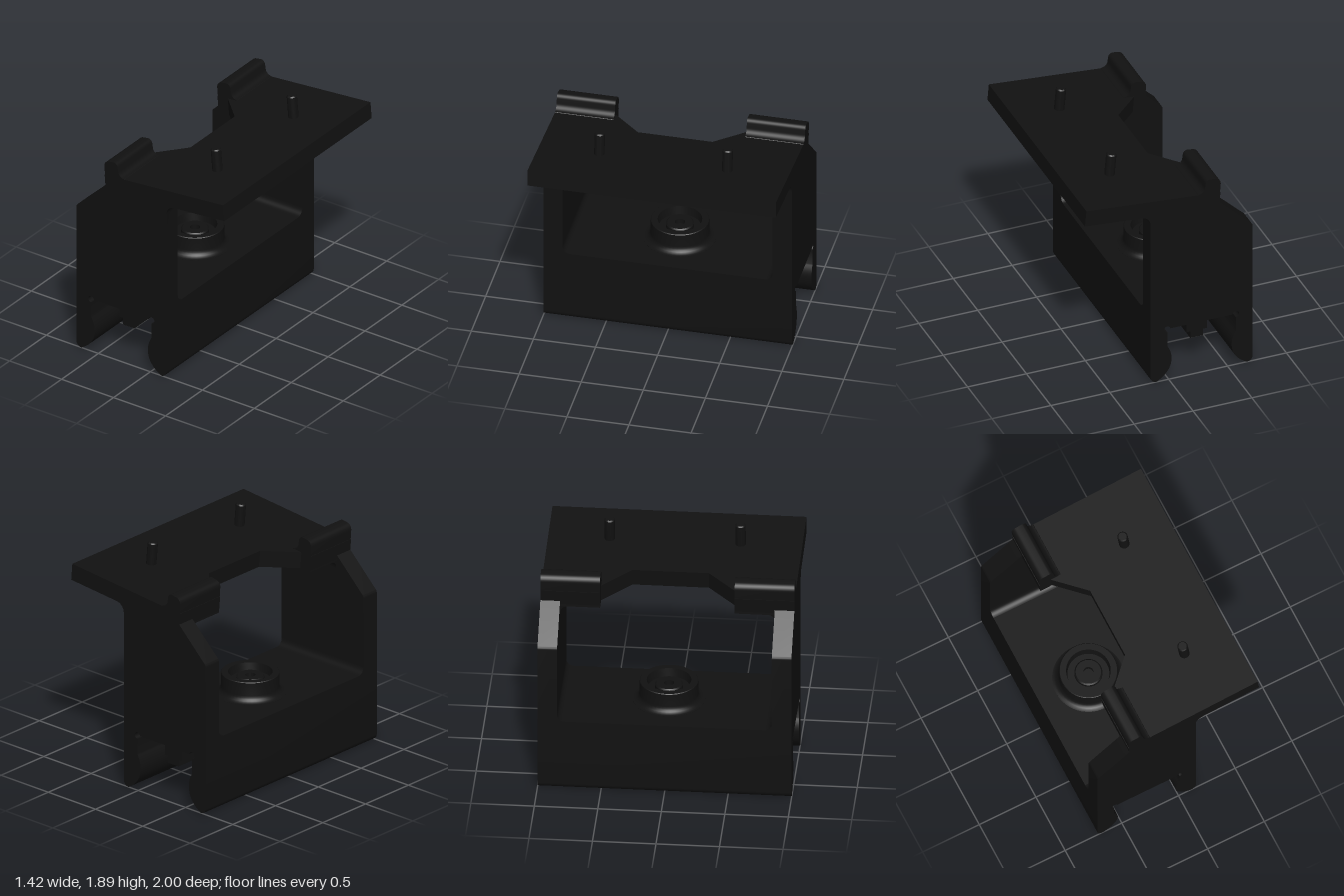
import * as THREE from 'three';
import { toCreasedNormals } from 'three/addons/utils/BufferGeometryUtils.js';

const CX = -0.28; // centre line of the clip and the housing
const V = (x, y) => new THREE.Vector2(x, y);

// points on a circular arc, angles in degrees
function arc(cx, cy, r, a0, a1, n = 8) {
  return Array.from({ length: n + 1 }, (_, i) => {
    const a = THREE.MathUtils.degToRad(a0 + ((a1 - a0) * i) / n);
    return V(cx + r * Math.cos(a), cy + r * Math.sin(a));
  });
}

// extrude a closed outline along z from z0 to z1
function slab(points, z0, z1) {
  const g = new THREE.ExtrudeGeometry(new THREE.Shape(points), { depth: z1 - z0, bevelEnabled: false });
  g.translate(0, 0, z0);
  return toCreasedNormals(g, 0.6);
}

export function createModel() {
  const model = new THREE.Group();
  const material = new THREE.MeshStandardMaterial({ color: 0x111111 });
  const add = (name, geometry, parent = model) => {
    const mesh = new THREE.Mesh(geometry, material);
    mesh.name = name;
    parent.add(mesh);
    return mesh;
  };

  // floor with two snap-in legs, mirrored about the clip centre
  const bulge = new THREE.SplineCurve([V(0.375, 0.005), V(0.315, 0.05), V(0.27, 0.115),
    V(0.255, 0.19), V(0.265, 0.255), V(0.29, 0.31)]).getPoints(20);
  const half = [
    V(0.433, 0.61),
    ...arc(0.383, 0.05, 0.05, 0, -90),
    ...bulge,
    ...arc(0.29, 0.467, 0.028, -90, 174, 16),
  ];
  const base = [
    ...half.map((p) => V(CX + p.x, p.y)),
    ...half.map((p) => V(CX - p.x, p.y)).reverse(),
  ];
  add('clipBase', slab(base, -1, 1));

  // stepped rail under the floor
  const rail = [[0.0875, 0.33], [0.055, 0.27]];
  rail.forEach(([w, y]) => {
    const g = new THREE.BoxGeometry(w * 2, 0.5 - y, 1.8);
    add('underRail', g.translate(CX, (0.5 + y) / 2, 0));
  });

  // end walls with a chamfered rear corner and a fillet under the roof
  const wall = [
    V(-0.713, 0.6), V(0.153, 0.6),
    ...arc(0.235, 1.472, 0.082, 180, 95),
    V(0.22, 1.6), V(-0.43, 1.6), V(-0.43, 1.545),
    ...arc(-0.673, 1.255, 0.04, 135, 180, 4),
  ];
  // lip along the rear edge of the roof
  const lip = [
    V(-0.25, 1.515), V(-0.25, 1.65),
    ...arc(-0.255, 1.71, 0.055, 270, 185),
    ...arc(-0.352, 1.738, 0.037, 5, 90, 6),
    ...arc(-0.393, 1.718, 0.05, 95, 185, 6),
    V(-0.43, 1.56), V(-0.43, 1.495),
  ];
  // concave corner strips of the window, running along x
  const R = 0.06;
  const corner = [V(-0.01, -0.01), V(R, -0.01), ...arc(R, R, R, 270, 180), V(-0.01, R)];
  const cornerStrip = (x0, x1, y, z, sy, sz) => {
    const outline = corner.map((p) => V(-(z + sz * p.x), y + sy * p.y));
    const g = slab(outline, x0, x1);
    return g.rotateY(Math.PI / 2);
  };
  for (const s of [1, -1]) {
    add('endWall', slab(wall, s > 0 ? 0.845 : -1, s > 0 ? 1 : -0.845));
    add('rearLip', slab(lip, s > 0 ? 0.53 : -1, s > 0 ? 1 : -0.53));
    add('lowerCornerFillet', cornerStrip(-0.713, 0.153, 0.61, s * 0.845, 1, -s));
    const top = add('upperCornerFillet', cornerStrip(-0.43, 0.15, 0, s * 0.845, -1, -s));
    top.position.y = 1.533;
    top.rotation.z = THREE.MathUtils.degToRad(5);
  }

  // tilted roof plate with a trapezoid cutout in its rear edge
  const roof = new THREE.Group();
  roof.name = 'roof';
  roof.position.y = 1.533;
  roof.rotation.z = THREE.MathUtils.degToRad(5);
  model.add(roof);
  const plan = [
    V(0.713, -1), V(0.713, 1), V(-0.43, 1), V(-0.43, 0.53), V(-0.33, 0.53), V(-0.1, 0.3),
    V(-0.1, -0.3), V(-0.33, -0.53), V(-0.43, -0.53), V(-0.43, -1),
  ];
  add('roofPlate', slab(plan, 0, 0.14).rotateX(-Math.PI / 2), roof);

  // pegs through the plate, each with a flat head underneath
  const peg = [V(0, -0.01), V(0.075, -0.01), V(0.075, 0.02), V(0.041, 0.02),
    V(0.041, 0.32), V(0.033, 0.33), V(0, 0.33)];
  for (const z of [-0.515, 0.515]) {
    const g = toCreasedNormals(new THREE.LatheGeometry(peg, 32), 0.6);
    add('peg', g, roof).position.set(0.315, 0, z);
  }

  // round boss on the floor with a recessed centre
  const boss = [
    V(0.285, 0.6), V(0.285, 0.611),
    ...arc(0.285, 0.666, 0.055, 270, 180, 6),
    V(0.23, 0.775), V(0.225, 0.78), V(0.175, 0.78), V(0.165, 0.71),
    V(0.11, 0.71), V(0.11, 0.74), V(0.1, 0.75), V(0.04, 0.75), V(0.04, 0.71), V(0, 0.71),
  ];
  add('floorBoss', toCreasedNormals(new THREE.LatheGeometry(boss, 48), 0.6)).position.x = CX;

  return model;
}
